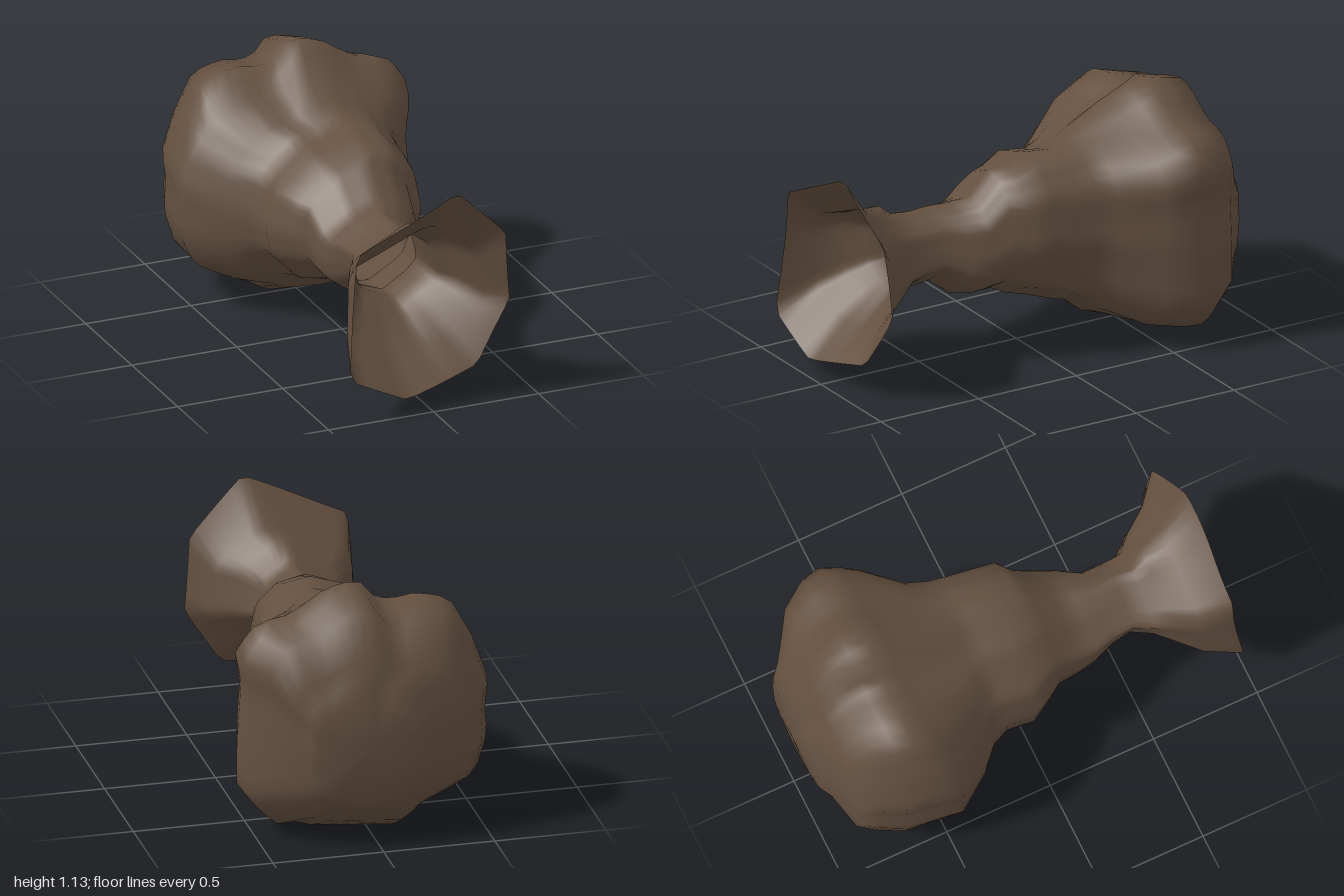
import * as THREE from 'three';

const SIDES = 56;

// Outlines of the mouth, neck, shoulder and belly, listed as x, y corners
const MOUTH = [[0.13, 0.99], [0.38, 0.75], [0.41, 0.42], [0.24, 0.16], [-0.12, 0.08], [-0.39, 0.21], [-0.34, 0.77]];
const NECK = [[0, 0.73], [0.11, 0.65], [0.16, 0.5], [0, 0.385], [-0.15, 0.46], [-0.19, 0.61]];
const SHOULDER = [[0.08, 0.91], [0.2, 0.89], [0.31, 0.78], [0.35, 0.56], [0.28, 0.34], [0.06, 0.23], [-0.2, 0.28],
  [-0.34, 0.42], [-0.36, 0.54], [-0.31, 0.7], [-0.14, 0.84]];
const BELLY = [[0.01, 1.13], [0.16, 1.1], [0.26, 1.03], [0.37, 0.975], [0.46, 0.98], [0.57, 0.85], [0.54, 0.7],
  [0.56, 0.4], [0.56, 0.21], [0.42, 0.06], [0.34, 0.07], [0.25, 0.04], [-0.15, 0.005], [-0.23, 0.08], [-0.45, 0.18],
  [-0.51, 0.21], [-0.57, 0.4], [-0.555, 0.54], [-0.575, 0.62], [-0.505, 0.82], [-0.405, 1], [-0.255, 1.04],
  [-0.13, 1.02], [-0.05, 1.05]];

// Move and stretch points so that they fill the given box
function fitBox(points, x0, x1, y0, y1) {
  const box = new THREE.Box2().setFromPoints(points);
  const size = box.getSize(new THREE.Vector2());
  return points.map((p) => new THREE.Vector2(
    x0 + (x1 - x0) * (p.x - box.min.x) / size.x,
    y0 + (y1 - y0) * (p.y - box.min.y) / size.y));
}

// Radius of an outline at evenly spaced angles
function radii(corners) {
  const pts = fitBox(corners.map(([x, y]) => new THREE.Vector2(x, y)), -1, 1, -1, 1);
  return Array.from({ length: SIDES }, (_, i) => {
    const angle = i / SIDES * Math.PI * 2;
    const dir = new THREE.Vector2(Math.cos(angle), Math.sin(angle));
    let best = 0;
    pts.forEach((a, k) => {
      const edge = pts[(k + 1) % pts.length].clone().sub(a);
      const det = dir.cross(edge);
      if (Math.abs(det) < 1e-9) return;
      const t = a.cross(edge) / det;
      const u = a.cross(dir) / det;
      if (t > 0 && u >= -1e-6 && u <= 1 + 1e-6) best = Math.max(best, t);
    });
    return best;
  });
}

// Cross-sections: z, left and right limits, bottom and top limits, outline (0 mouth, 1 neck, 2 shoulder, 3 belly)
const RINGS = [
  [0.95, -0.39, 0.41, 0.08, 0.99, 0],
  [0.82, -0.335, 0.32, 0.225, 0.80, 0.25],
  [0.71, -0.275, 0.24, 0.30, 0.785, 0.6],
  [0.64, -0.235, 0.18, 0.35, 0.73, 0.9],
  [0.55, -0.19, 0.165, 0.37, 0.725, 1.1],
  [0.45, -0.2, 0.155, 0.375, 0.725, 1.3],
  [0.36, -0.22, 0.21, 0.305, 0.73, 1.5],
  [0.27, -0.235, 0.25, 0.293, 0.74, 1.7],
  [0.17, -0.255, 0.26, 0.295, 0.85, 1.8],
  [0.11, -0.295, 0.33, 0.27, 0.87, 1.9],
  [0, -0.36, 0.34, 0.235, 0.91, 2],
  [-0.12, -0.335, 0.36, 0.195, 0.905, 2.05],
  [-0.2, -0.37, 0.37, 0.17, 0.93, 2.15],
  [-0.29, -0.46, 0.4, 0.095, 0.96, 2.35],
  [-0.45, -0.57, 0.515, 0.04, 1.035, 2.75],
  [-0.53, -0.565, 0.55, 0.03, 1.08, 2.9],
  [-0.61, -0.56, 0.57, 0.015, 1.13, 3],
  [-0.7, -0.545, 0.555, 0.003, 1.105, 3],
  [-0.82, -0.495, 0.47, 0.07, 1.07, 3],
  [-0.89, -0.44, 0.37, 0.14, 0.88, 2.8],
  [-0.93, -0.27, 0.32, 0.185, 0.79, 2.6],
  [-0.965, -0.21, 0.29, 0.235, 0.7, 2.5],
];

function bodyGeometry() {
  const outlines = [MOUTH, NECK, SHOULDER, BELLY].map(radii);
  const positions = [];
  const index = [];
  RINGS.forEach(([z, x0, x1, y0, y1, blend], r) => {
    const k = Math.min(Math.floor(blend), 2);
    const ring = outlines[k].map((radius, i) => {
      const angle = i / SIDES * Math.PI * 2;
      const d = THREE.MathUtils.lerp(radius, outlines[k + 1][i], blend - k);
      return new THREE.Vector2(d * Math.cos(angle), d * Math.sin(angle));
    });
    fitBox(ring, x0, x1, y0, y1).forEach((p, i) => {
      // The mouth leans to one side and its rim is slightly warped
      const warp = r === 0 ? 0.025 * Math.cos(2 * (i / SIDES * Math.PI * 2 - 1.3)) - 0.09 * p.x : 0;
      positions.push(p.x, p.y, z + warp);
    });
    if (r === 0) return;
    for (let i = 0; i < SIDES; i++) {
      const j = (i + 1) % SIDES;
      const a = (r - 1) * SIDES, b = r * SIDES;
      index.push(a + i, b + i, a + j, a + j, b + i, b + j);
    }
  });
  // Rounded closed end
  const centre = positions.length / 3;
  const last = centre - SIDES;
  positions.push(0.02, 0.52, -1);
  for (let i = 0; i < SIDES; i++) index.push(last + i, centre, last + (i + 1) % SIDES);

  const geometry = new THREE.BufferGeometry();
  geometry.setAttribute('position', new THREE.Float32BufferAttribute(positions, 3));
  geometry.setIndex(index);
  geometry.computeVertexNormals();
  return geometry;
}

export function createModel() {
  const group = new THREE.Group();
  group.name = 'hollowVessel';
  const brown = new THREE.MeshStandardMaterial({ color: 0x645040, side: THREE.DoubleSide });
  brown.name = 'earthBrown';
  const body = new THREE.Mesh(bodyGeometry(), brown);
  body.name = 'flaredBody';
  group.add(body);
  return group;
}
